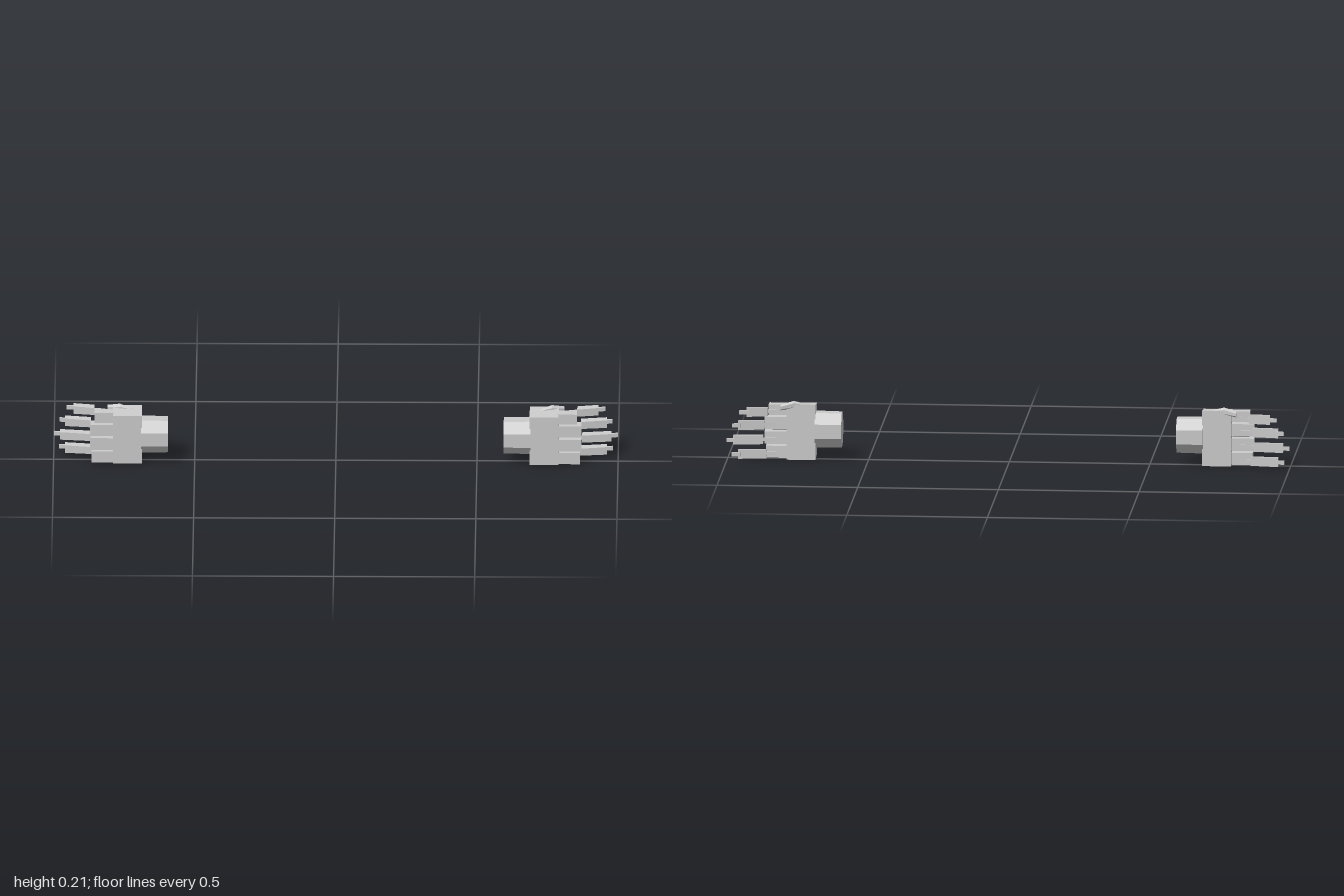
import * as THREE from 'three';

const material = new THREE.MeshStandardMaterial({ color: 0xcccccc, flatShading: true });

// Closed solid through cross-sections {x, ring: [[y, z], ...]} with rising x;
// side = -1 mirrors it in x and turns the faces to match.
function loft(name, sections, side) {
  const n = sections[0].ring.length, pos = [];
  const point = (s, i) => {
    const [y, z] = sections[s].ring[i % n];
    return [sections[s].x * side, y, z];
  };
  const tri = (a, b, c) => pos.push(...a, ...(side > 0 ? b : c), ...(side > 0 ? c : b));
  for (let s = 0; s < sections.length - 1; s++) {
    for (let i = 0; i < n; i++) {
      const a = point(s, i), b = point(s, i + 1), c = point(s + 1, i + 1), d = point(s + 1, i);
      tri(a, b, c);
      tri(a, c, d);
    }
  }
  const last = sections.length - 1;
  for (let i = 1; i < n - 1; i++) {
    tri(point(0, 0), point(0, i + 1), point(0, i));
    tri(point(last, 0), point(last, i), point(last, i + 1));
  }
  const geometry = new THREE.BufferGeometry();
  geometry.setAttribute('position', new THREE.Float32BufferAttribute(pos, 3));
  geometry.computeVertexNormals();
  const mesh = new THREE.Mesh(geometry, material);
  mesh.name = name;
  return mesh;
}

// Four-sided section; the back and front edges may differ in height
function slab(x, y, z, backHeight, frontHeight, depth) {
  const b = backHeight / 2, f = frontHeight / 2, d = depth / 2;
  return { x, ring: [[y + b, z - d], [y + f, z + d], [y - f, z + d], [y - b, z - d]] };
}

// Regular section squashed to an ellipse
function oval(x, y, z, ry, rz, sides, turn = 0) {
  const ring = [];
  for (let i = 0; i < sides; i++) {
    const a = (i / sides) * Math.PI * 2 + turn;
    ring.push([y + Math.cos(a) * ry, z + Math.sin(a) * rz]);
  }
  return { x, ring };
}

// Fingers: height of centre, base height, base end, outer start, outer end, tip end
const fingers = [
  { y: 0.177, h: 0.038, base: 0.855, start: 0.855, end: 0.93, tip: 0.955 },
  { y: 0.129, h: 0.043, base: 0.87, start: 0.868, end: 0.96, tip: 0.98 },
  { y: 0.076, h: 0.045, base: 0.87, start: 0.872, end: 0.977, tip: 1.0 },
  { y: 0.025, h: 0.043, base: 0.865, start: 0.86, end: 0.96, tip: 0.982 },
];

function makeHand(side) {
  const hand = new THREE.Group();
  hand.name = side > 0 ? 'leftHand' : 'rightHand';
  const add = (name, ...sections) => hand.add(loft(name, sections, side));

  // Eight-sided wrist and wedge-sided palm
  const turn = Math.PI / 8;
  add('wrist', oval(0.595, 0.106, 0.013, 0.066, 0.054, 8, turn),
    oval(0.69, 0.106, 0.013, 0.068, 0.056, 8, turn));
  add('palm', slab(0.687, 0.101, 0.0135, 0.2, 0.184, 0.077),
    slab(0.79, 0.101, 0.0135, 0.2, 0.184, 0.077));

  // Thumb lying slantwise along the top of the palm
  add('thumb', oval(0.725, 0.194, -0.002, 0.006, 0.008, 6),
    oval(0.765, 0.198, -0.014, 0.014, 0.014, 6),
    oval(0.81, 0.19, -0.03, 0.01, 0.01, 6));

  // Each finger: base block, thin link behind it, outer block and small tip
  for (const f of fingers) {
    add('fingerBase', slab(0.785, f.y, 0.0145, f.h, f.h, 0.038),
      slab(f.base, f.y, 0.0145, f.h, f.h, 0.038));
    add('fingerLink', slab(0.825, f.y, -0.034, 0.012, 0.012, 0.006),
      slab(f.start, f.y, -0.036, 0.012, 0.012, 0.006));
    add('fingerOuter', slab(f.start, f.y, -0.034, 0.032, 0.027, 0.024),
      slab(f.end, f.y, -0.046, 0.034, 0.029, 0.022));
    add('fingerTip', slab(f.end - 0.01, f.y, -0.056, 0.014, 0.014, 0.009),
      slab(f.tip, f.y, -0.06, 0.014, 0.014, 0.008));
  }
  return hand;
}

export function createModel() {
  const model = new THREE.Group();
  model.name = 'handPair';
  model.add(makeHand(1), makeHand(-1));
  return model;
}
